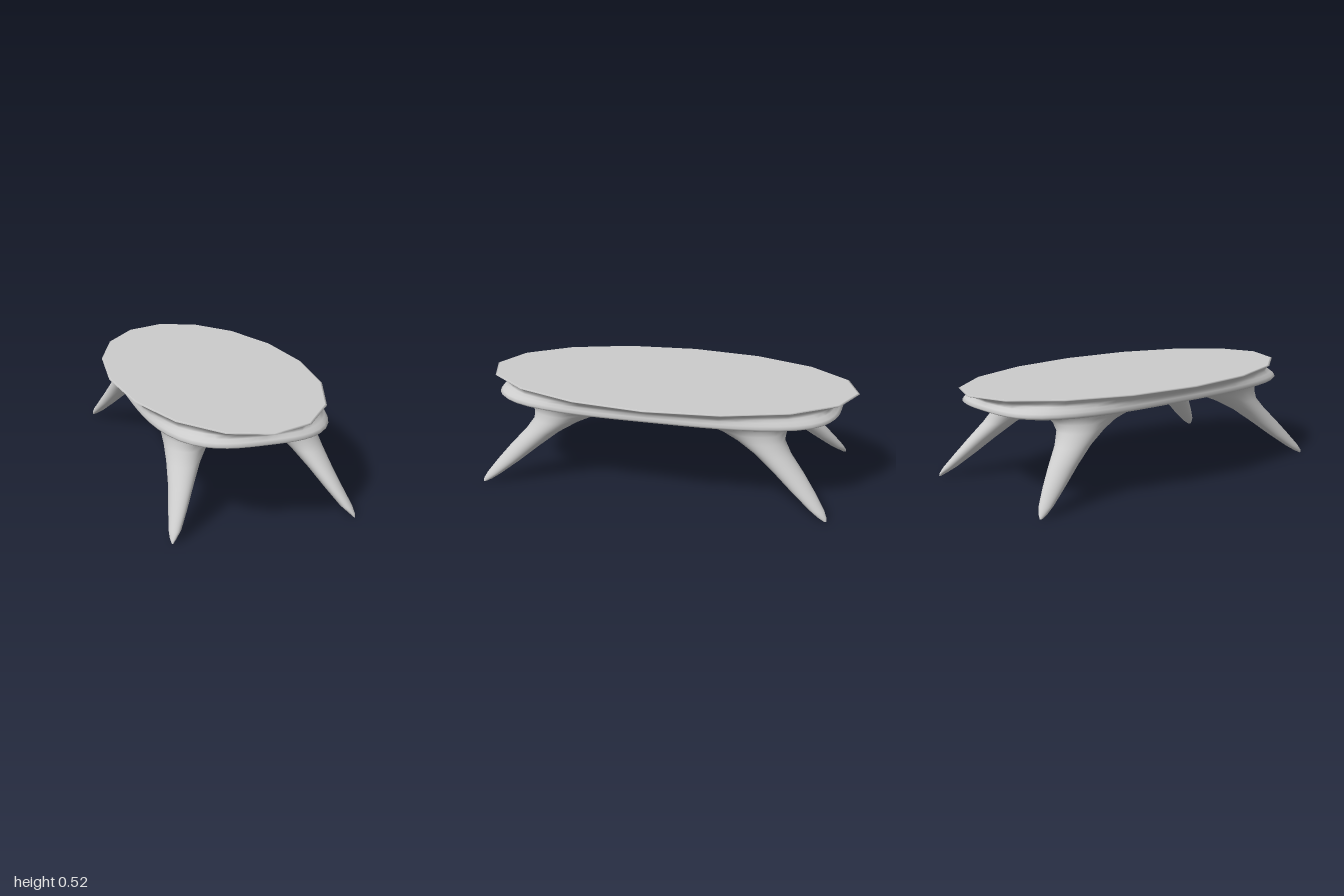
import * as THREE from 'three';

const SEG = 64;

// Skin a stack of closed loops (bottom to top), with optional flat end caps.
function loft(loops, capBottom, capTop) {
  const pos = loops.flat(2);
  const index = [];
  const n = SEG;
  for (let r = 0; r < loops.length - 1; r++) {
    for (let i = 0; i < n; i++) {
      const j = (i + 1) % n;
      const a = r * n + i, b = r * n + j, c = a + n, d = b + n;
      index.push(a, c, b, b, c, d);
    }
  }
  const cap = (loop, up) => {
    const base = pos.length / 3;
    const mid = [0, 1, 2].map(k => loop.reduce((s, p) => s + p[k], 0) / n);
    pos.push(...loop.flat(), ...mid);
    for (let i = 0; i < n; i++) {
      const a = base + i, b = base + (i + 1) % n;
      if (up) index.push(base + n, b, a);
      else index.push(base + n, a, b);
    }
  };
  if (capBottom) cap(loops[0], false);
  if (capTop) cap(loops[loops.length - 1], true);
  const geo = new THREE.BufferGeometry();
  geo.setAttribute('position', new THREE.Float32BufferAttribute(pos, 3));
  geo.setIndex(index);
  geo.computeVertexNormals();
  return geo;
}

const ring = fn => Array.from({ length: SEG }, (_, i) => fn(i));

// Unit outline: 16-sided polygon for the top edge
function polygonPoint(i) {
  const step = Math.PI / 8, k = Math.floor(i / 4), f = (i % 4) / 4;
  const a = k * step, b = a + step;
  return [Math.cos(a) * (1 - f) + Math.cos(b) * f, Math.sin(a) * (1 - f) + Math.sin(b) * f];
}

// Unit outline: squarish oval for the apron
function ovalPoint(i) {
  const t = (i / SEG) * Math.PI * 2, c = Math.cos(t), s = Math.sin(t), n = 3.3;
  const r = (Math.abs(c) ** n + Math.abs(s) ** n) ** (-1 / n);
  return [c * r, s * r];
}

export function createModel() {
  const group = new THREE.Group();
  const material = new THREE.MeshStandardMaterial({ color: 0xcccccc });
  const add = (name, geo) => {
    const mesh = new THREE.Mesh(geo, material);
    mesh.name = name;
    group.add(mesh);
  };

  // Table top and apron: [y, half width, half depth, polygon share]
  const profile = [
    [0.421, 0.40, 0.82, 0],
    [0.424, 0.44, 0.885, 0],
    [0.431, 0.456, 0.905, 0],
    [0.441, 0.461, 0.917, 0],
    [0.455, 0.456, 0.905, 0],
    [0.47, 0.455, 0.892, 0.1],
    [0.483, 0.468, 0.90, 0.4],
    [0.497, 0.497, 0.935, 0.75],
    [0.512, 0.53, 0.988, 1],
    [0.517, 0.537, 1.0, 1],
    [0.521, 0.528, 0.988, 1],
  ];
  const topLoops = profile.map(([y, w, d, f]) => ring(i => {
    const p = polygonPoint(i), o = ovalPoint(i);
    return [w * (p[0] * f + o[0] * (1 - f)), y, d * (p[1] * f + o[1] * (1 - f))];
  }));
  add('tableTop', loft(topLoops, true, true));

  // Splayed legs flaring into the underside: [y, inner x, outer x, inner z, outer z]
  const sections = [
    [0.003, 0.452, 0.461, 0.9, 0.913],
    [0.02, 0.434, 0.464, 0.866, 0.912],
    [0.05, 0.402, 0.461, 0.82, 0.897],
    [0.12, 0.352, 0.439, 0.725, 0.845],
    [0.2, 0.298, 0.416, 0.625, 0.78],
    [0.28, 0.238, 0.399, 0.52, 0.707],
    [0.34, 0.182, 0.39, 0.415, 0.667],
    [0.38, 0.137, 0.389, 0.32, 0.672],
    [0.405, 0.09, 0.396, 0.22, 0.69],
    [0.422, 0.03, 0.412, 0.1, 0.725],
  ];
  const legs = [
    ['frontLeftLeg', 1, 1], ['frontRightLeg', -1, 1],
    ['backLeftLeg', 1, -1], ['backRightLeg', -1, -1],
  ];
  for (const [name, sx, sz] of legs) {
    const loops = sections.map(([y, x0, x1, z0, z1]) => ring(i => {
      const t = (i / SEG) * Math.PI * 2;
      return [
        sx * (x0 + x1) / 2 + Math.cos(t) * (x1 - x0) / 2,
        y,
        sz * (z0 + z1) / 2 + Math.sin(t) * (z1 - z0) / 2,
      ];
    }));
    add(name, loft(loops, true, false));
  }
  return group;
}
